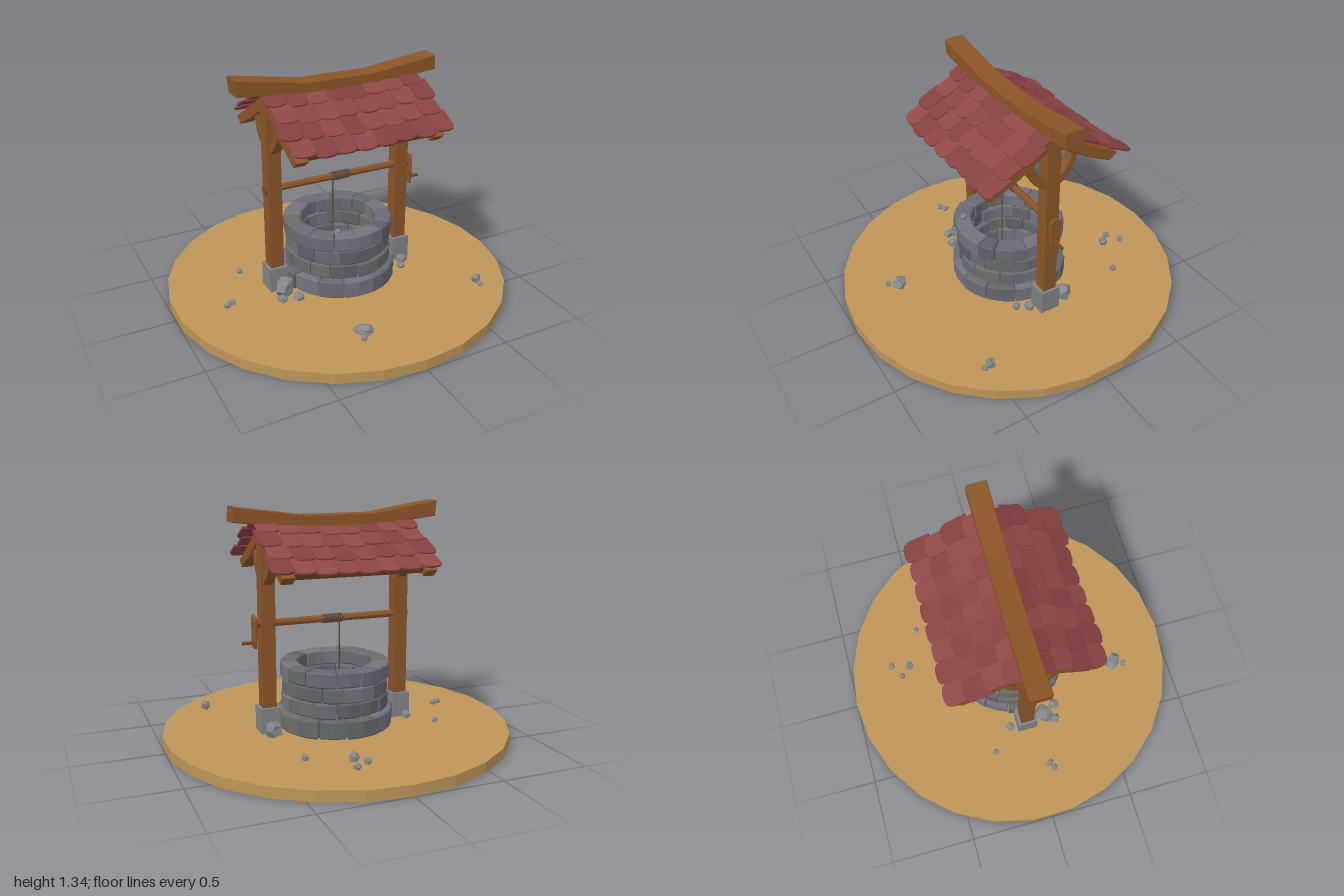
import * as THREE from 'three';

// Small seeded generator for hand-made irregularity
let seed = 7;
const rnd = (a, b) => {
  seed = (seed * 16807) % 2147483647;
  return a + (b - a) * (seed / 2147483647);
};
const mat = (color) => new THREE.MeshStandardMaterial({ color, flatShading: true });

const WOOD = mat(0x8a5527), DARK_WOOD = mat(0x7a4821), SAND = mat(0xbd9558);
const ROPE = mat(0x5e4a38), ROCK = mat(0x84878a), FOOT = mat(0x808286);
const STONES = [0x6a6a74, 0x74737e, 0x64686a, 0x6c6e66, 0x5f6068].map(mat);
const TILES = [0x8a4442, 0x84403f, 0x8f4947].map(mat);

function add(parent, name, geometry, material, x = 0, y = 0, z = 0) {
  const m = new THREE.Mesh(geometry, material);
  m.name = name;
  m.position.set(x, y, z);
  parent.add(m);
  return m;
}
function group(parent, name) {
  const g = new THREE.Group();
  g.name = name;
  parent.add(g);
  return g;
}
// Bevelled slab of a polygon, centred on its depth
function slab(points, depth, bevel = 0.004) {
  const shape = new THREE.Shape(points.map((p) => new THREE.Vector2(p[0], p[1])));
  const g = new THREE.ExtrudeGeometry(shape, {
    depth: depth - 2 * bevel, bevelEnabled: true, bevelSize: bevel,
    bevelThickness: bevel, bevelOffset: -bevel, bevelSegments: 1,
  });
  return g.translate(0, 0, -depth / 2 + bevel);
}
const rod = (r, len, sides = 8) => new THREE.CylinderGeometry(r, r, len, sides);

// Curved block of a stone ring
function stone(r0, r1, a0, a1, height) {
  const pts = [];
  for (let i = 0; i <= 2; i++) {
    const a = a0 + ((a1 - a0) * i) / 2;
    pts.push([Math.cos(a) * r1, Math.sin(a) * r1]);
  }
  for (let i = 2; i >= 0; i--) {
    const a = a0 + ((a1 - a0) * i) / 2;
    pts.push([Math.cos(a) * r0, Math.sin(a) * r0]);
  }
  return slab(pts, height, 0.008).rotateX(-Math.PI / 2);
}

function buildWall(parent) {
  const wall = group(parent, 'wellWall');
  wall.position.x = 0.01;
  const rings = [[0.06, 0.168, 0.34], [0.168, 0.258, 0.305], [0.258, 0.348, 0.305], [0.348, 0.44, 0.32]];
  rings.forEach(([y0, y1, r], k) => {
    const n = 13;
    const cuts = [];
    for (let i = 0; i < n; i++) cuts.push(((i + k * 0.5 + rnd(-0.17, 0.17)) / n) * Math.PI * 2);
    cuts.push(cuts[0] + Math.PI * 2);
    for (let i = 0; i < n; i++) {
      const g = stone(0.22 + rnd(-0.008, 0.008), r + rnd(-0.01, 0.006), cuts[i] + 0.008, cuts[i + 1] - 0.008, y1 - y0 - 0.003);
      add(wall, 'wallStone', g, STONES[Math.floor(rnd(0, 4.99))], 0, (y0 + y1) / 2 + rnd(-0.002, 0.002), 0);
    }
  });
}

// Irregular low-poly stone
function rock(parent, x, y, z, rx, ry, rz) {
  const s = rnd(0, 9);
  const g = new THREE.DodecahedronGeometry(1, 0);
  const p = g.attributes.position, v = new THREE.Vector3();
  for (let i = 0; i < p.count; i++) {
    v.fromBufferAttribute(p, i);
    v.multiplyScalar(1 + 0.13 * Math.sin(v.x * 4 + s) + 0.1 * Math.sin(v.z * 5 + v.y * 3 + s * 2));
    p.setXYZ(i, v.x * rx, Math.max(v.y, -0.9) * ry, v.z * rz);
  }
  g.computeVertexNormals();
  add(parent, 'rock', g, ROCK, x, y + ry * 0.8, z).rotation.y = s;
}

// Post with footing, rafters and curved braces
function buildFrame(parent, x) {
  const f = group(parent, 'postFrame');
  f.position.x = x;
  add(f, 'footing', new THREE.BoxGeometry(0.11, 0.145, 0.12), FOOT, 0, 0.1325, 0);
  add(f, 'post', new THREE.BoxGeometry(0.08, 1.03, 0.08), WOOD, 0, 0.715, 0);
  const rafter = [[0, 1.225], [0.2, 1.108], [0.41, 0.988], [0.365, 0.95], [0.2, 1.03], [0, 1.155]];
  const brace = [[0.03, 0.955], [0.075, 0.99], [0.1, 1.03], [0.115, 1.085], [0.155, 1.065], [0.135, 1.0], [0.1, 0.945], [0.03, 0.895]];
  for (const s of [-1, 1]) {
    // Slab x runs along z after turning
    add(f, 'rafter', slab(rafter, 0.07), WOOD).rotation.y = (-s * Math.PI) / 2;
    add(f, 'brace', slab(brace, 0.055), WOOD).rotation.y = (-s * Math.PI) / 2;
  }
}

const sag = (x) => 0.022 * (x / 0.45) ** 2 - 0.012;

// Roof side: s = 1 front, s = -1 back
function buildRoofSide(parent, s, run) {
  const side = group(parent, s > 0 ? 'frontRoof' : 'backRoof');
  const pitch = Math.atan2(0.235, run), len = Math.hypot(0.235, run), rows = 4, cols = 8, w = 0.945 / cols;
  for (let r = 0; r < rows; r++) {
    for (let c = 0; c < cols; c++) {
      const h = len / rows + 0.04, b = w / 2 + 0.003, e = rnd(-0.008, 0.008);
      // Tile hangs down from its upper edge, lower corners rounded
      const pts = [[-b, 0], [-b, -h + 0.03], [-b + 0.013, -h + 0.009 + e], [-b + 0.04, -h + e],
        [b - 0.04, -h + e], [b - 0.013, -h + 0.009 + e], [b, -h + 0.03], [b, 0]];
      const x = -0.458 + (c + 0.5) * w + (r % 2 ? 0.022 : 0) + rnd(-0.004, 0.004);
      const d = (r * len) / rows - 0.03;
      const tile = add(side, 'roofTile', slab(pts, 0.016, 0.003), TILES[Math.floor(rnd(0, 2.99))],
        x, 1.238 - d * Math.sin(pitch) + sag(x), s * (0.015 + d * Math.cos(pitch)));
      tile.rotation.order = 'YXZ';
      tile.rotation.set(-Math.PI / 2 + pitch - 0.07 + rnd(-0.02, 0.02), s > 0 ? 0 : Math.PI, rnd(-0.03, 0.03));
    }
  }
  // Purlin carrying the eave
  const purlin = add(side, 'purlin', new THREE.BoxGeometry(0.87, 0.035, 0.045), DARK_WOOD, 0.01, 0.995, s * 0.345);
  purlin.rotation.x = s * pitch;
}

function buildWinch(parent) {
  const w = group(parent, 'winch');
  add(w, 'axle', rod(0.021, 0.93), WOOD, 0.018, 0.682, 0).rotation.z = Math.PI / 2;
  for (const x of [-0.44, 0.468]) add(w, 'axleCollar', rod(0.028, 0.014), DARK_WOOD, x, 0.682, 0).rotation.z = Math.PI / 2;
  // Rope wound on the axle, with its hanging end
  for (let i = 0; i < 9; i++) {
    add(w, 'ropeTurn', new THREE.TorusGeometry(0.021, 0.006, 5, 12), ROPE, -0.03 + i * 0.0135, 0.682, 0).rotation.y = Math.PI / 2 + 0.1;
  }
  add(w, 'hangingRope', rod(0.004, 0.5, 6), ROPE, -0.03, 0.43, 0.02);
  // Crank board and handle
  const board = [[-0.028, 0.545], [0.022, 0.545], [0.032, 0.57], [0.036, 0.7], [0.024, 0.725], [-0.024, 0.73], [-0.038, 0.705], [-0.034, 0.57]];
  add(w, 'crankBoard', slab(board, 0.017), WOOD, 0.485, 0, 0).rotation.y = Math.PI / 2;
  add(w, 'crankHandle', rod(0.01, 0.075), DARK_WOOD, 0.518, 0.577, 0).rotation.z = Math.PI / 2;
}

export function createModel() {
  const model = new THREE.Group();
  model.name = 'waterWell';

  add(model, 'ground', new THREE.CylinderGeometry(1, 1, 0.06, 26), SAND, 0, 0.03, 0);
  buildWall(model);
  buildFrame(model, -0.395);
  buildFrame(model, 0.415);
  buildRoofSide(model, 1, 0.395);
  buildRoofSide(model, -1, 0.425);
  buildWinch(model);

  // Upswept ridge beam
  const ridge = [[-0.595, 1.25], [-0.2, 1.205], [0.2, 1.2], [0.613, 1.245], [0.607, 1.328], [0.2, 1.274], [-0.2, 1.276], [-0.603, 1.34]];
  add(model, 'ridgeBeam', slab(ridge, 0.118), WOOD, 0, 0, -0.005);

  // Loose stones: x, y, z, radii
  const rocks = group(model, 'looseRocks');
  [
    [0.18, 0.06, -0.73, 0.024, 0.02, 0.02], [0.1, 0.06, -0.68, 0.021, 0.02, 0.022],
    [0.15, 0.06, -0.62, 0.032, 0.03, 0.026], [0.38, 0.06, -0.52, 0.022, 0.022, 0.02],
    [-0.535, 0.06, -0.23, 0.021, 0.018, 0.02], [-0.725, 0.06, 0.09, 0.025, 0.018, 0.024],
    [-0.69, 0.06, 0.07, 0.024, 0.016, 0.018], [-0.17, 0.06, 0.65, 0.055, 0.027, 0.045],
    [-0.2, 0.06, 0.71, 0.022, 0.02, 0.02], [0.66, 0.06, 0.51, 0.03, 0.033, 0.028],
    [0.665, 0.06, 0.545, 0.018, 0.015, 0.018], [-0.39, 0.06, 0.12, 0.058, 0.065, 0.055],
    [-0.34, 0.06, 0.2, 0.035, 0.026, 0.035], [-0.43, 0.06, 0.18, 0.03, 0.025, 0.03],
    [0.42, 0.06, -0.12, 0.055, 0.055, 0.05], [0.4, 0.06, 0.1, 0.035, 0.028, 0.032],
    [0.36, 0.06, 0.16, 0.025, 0.022, 0.025], [-0.41, 0.06, -0.1, 0.03, 0.026, 0.03],
    [-0.11, 0.438, 0.235, 0.02, 0.018, 0.022],
  ].forEach((r) => rock(rocks, ...r));

  return model;
}
